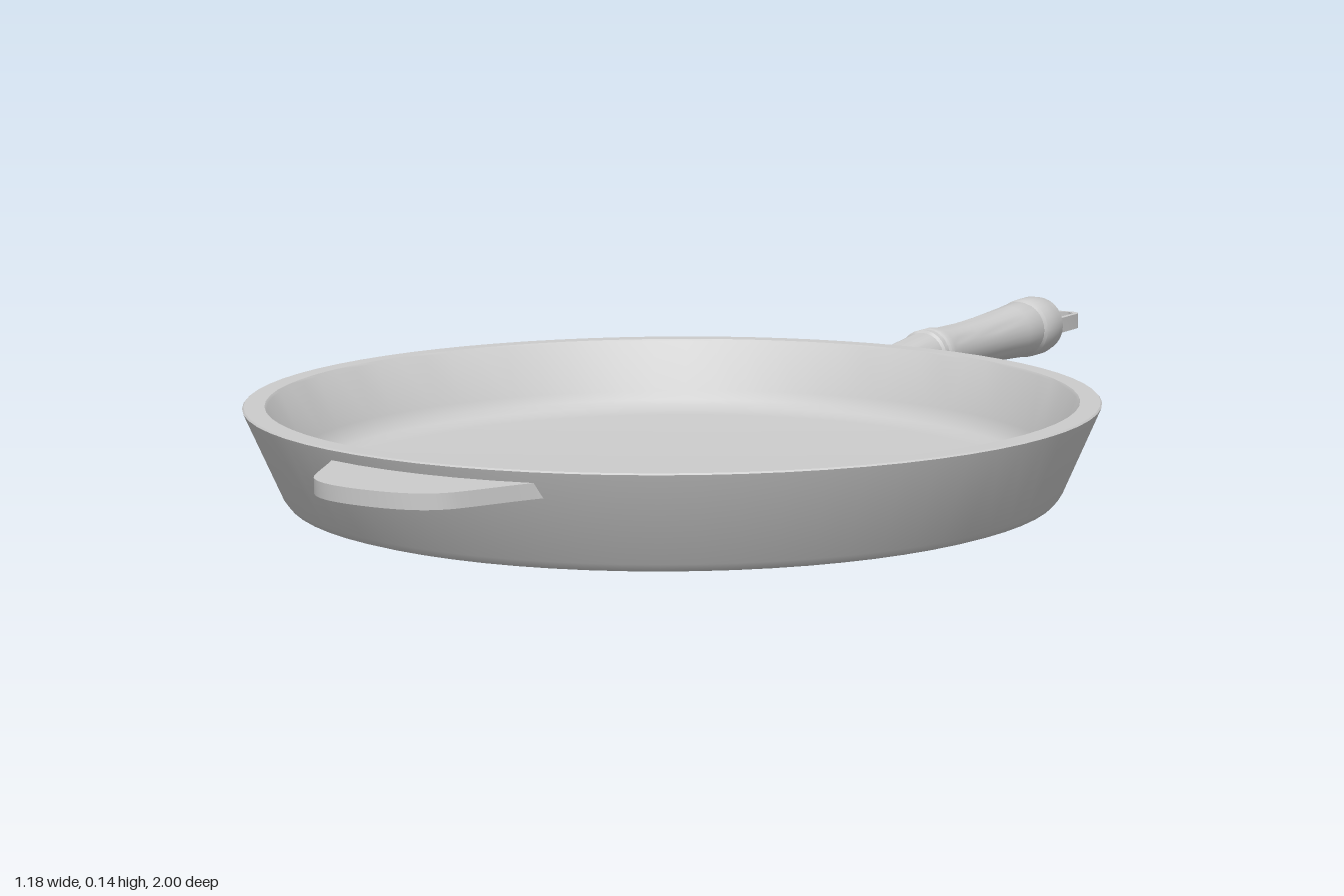
import * as THREE from 'three';
import { toCreasedNormals } from 'three/addons/utils/BufferGeometryUtils.js';

const material = new THREE.MeshStandardMaterial({ color: 0xcccccc });
const PAN_Z = 0.3;

function addPart(group, name, geometry, crease = 0.6) {
  const mesh = new THREE.Mesh(toCreasedNormals(geometry, crease), material);
  mesh.name = name;
  group.add(mesh);
  return mesh;
}

const lathe = (points, segments) =>
  new THREE.LatheGeometry(points.map(([r, y]) => new THREE.Vector2(r, y)), segments);

export function createModel() {
  const model = new THREE.Group();
  model.name = 'fryingPan';

  // Pan: underside, sloping wall, flat rim, inner wall and filleted floor
  const pan = lathe([
    [0, 0.003], [0.525, 0.003], [0.534, 0.006], [0.541, 0.015], [0.59, 0.13],
    [0.592, 0.135], [0.59, 0.137], [0.562, 0.137], [0.559, 0.134],
    [0.529, 0.06], [0.521, 0.046], [0.51, 0.037], [0.495, 0.032], [0.475, 0.03], [0, 0.03],
  ], 72);
  addPart(model, 'pan', pan).position.z = PAN_Z;

  // Helper tab at the front, its inner edge buried in the wall
  const tab = new THREE.Shape();
  const a = Math.asin(0.165 / 0.57);
  tab.moveTo(0.165, 0.57 * Math.cos(a));
  tab.bezierCurveTo(0.14, 0.585, 0.125, 0.625, 0.105, 0.66);
  tab.bezierCurveTo(0.085, 0.69, 0.05, 0.7, 0, 0.7);
  tab.bezierCurveTo(-0.05, 0.7, -0.085, 0.69, -0.105, 0.66);
  tab.bezierCurveTo(-0.125, 0.625, -0.14, 0.585, -0.165, 0.57 * Math.cos(a));
  tab.absarc(0, 0, 0.57, Math.PI / 2 + a, Math.PI / 2 - a, true);
  const tabGeometry = new THREE.ExtrudeGeometry(tab, { depth: 0.02, bevelEnabled: false, curveSegments: 10 });
  tabGeometry.rotateX(Math.PI / 2);
  addPart(model, 'helperTab', tabGeometry).position.set(0, 0.121, PAN_Z);

  // Turned handle: profile as radius and distance behind the origin
  const handle = lathe([
    [0, 0.258], [0.029, 0.258], [0.032, 0.32], [0.038, 0.455], [0.038, 0.46],
    [0.042, 0.464], [0.042, 0.476], [0.038, 0.48], [0.042, 0.486], [0.042, 0.5],
    [0.039, 0.53], [0.038, 0.6], [0.04, 0.68], [0.045, 0.78], [0.048, 0.825],
    [0.046, 0.832], [0.05, 0.838], [0.051, 0.86], [0.051, 0.885], [0.048, 0.892],
    [0.048, 0.905], [0.043, 0.913], [0, 0.913],
  ], 28);
  handle.rotateX(-Math.PI / 2);
  // Raise the axis slightly towards the free end
  const p = handle.attributes.position;
  for (let i = 0; i < p.count; i++) {
    const t = THREE.MathUtils.clamp((-p.getZ(i) - 0.258) / 0.2, 0, 1);
    p.setY(i, p.getY(i) + 0.085 + 0.01 * t);
  }
  addPart(model, 'handle', handle);

  // Hanging loop: flat rounded band with an open eye
  const band = (path, w, y0, y1, r) => {
    path.moveTo(-w, y0);
    path.lineTo(w, y0);
    path.lineTo(w, y1 - r);
    path.quadraticCurveTo(w, y1, w - r, y1);
    path.lineTo(-w + r, y1);
    path.quadraticCurveTo(-w, y1, -w, y1 - r);
    path.lineTo(-w, y0);
    return path;
  };
  const loop = band(new THREE.Shape(), 0.043, 0.895, 1, 0.028);
  loop.holes.push(band(new THREE.Path(), 0.034, 0.918, 0.991, 0.022));
  const loopGeometry = new THREE.ExtrudeGeometry(loop, { depth: 0.026, bevelEnabled: false, curveSegments: 8 });
  loopGeometry.rotateX(-Math.PI / 2);
  addPart(model, 'hangingLoop', loopGeometry).position.y = 0.082;

  return model;
}
